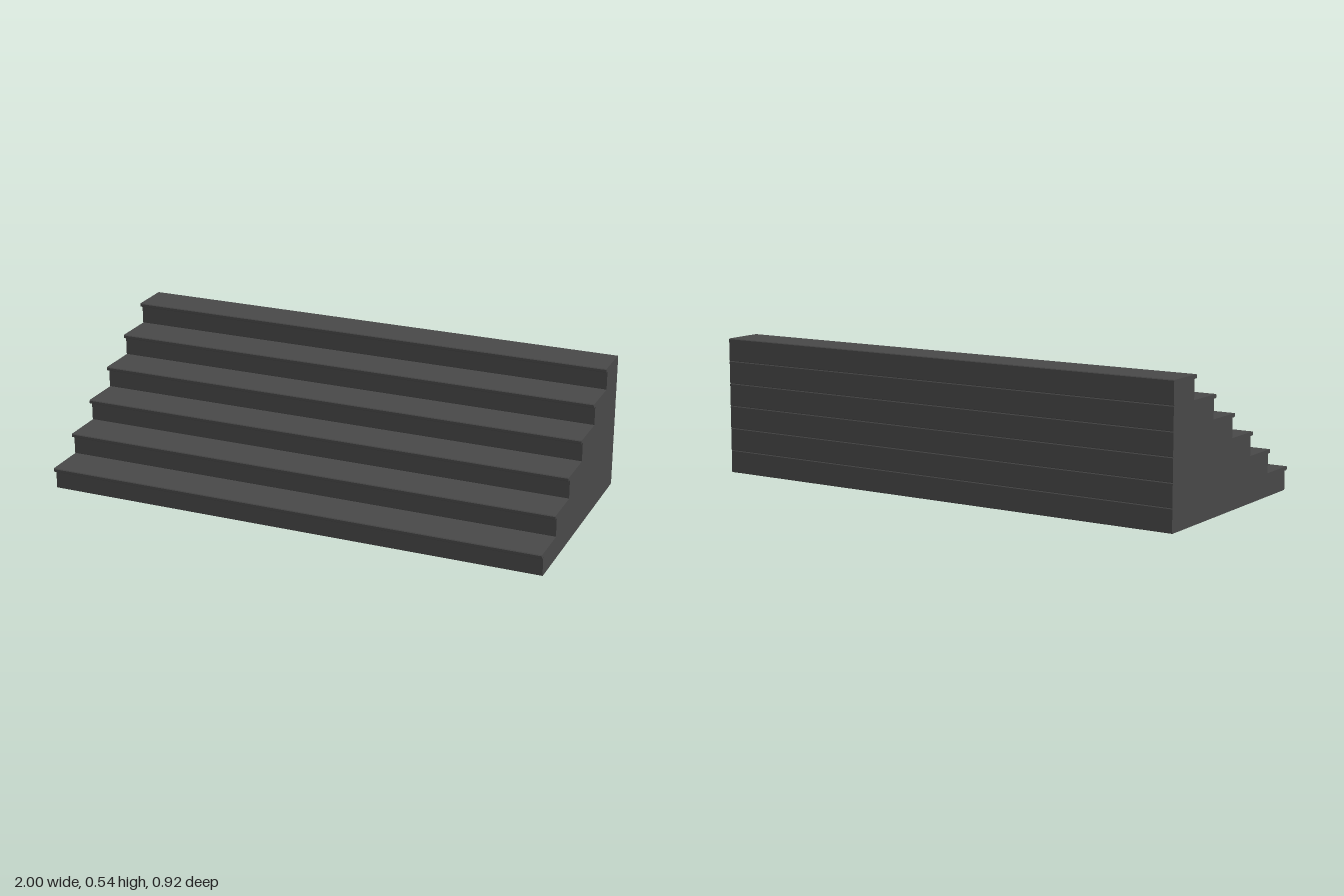
import * as THREE from 'three';

const WIDTH = 2, RISE = 0.09, RUN = 0.15, COUNT = 6;
const BACK = -0.458, FRONT = 0.458, OVERHANG = 0.018, NOSING = 0.015;
const EDGE = 0.003; // tiny chamfer that leaves a seam between the stacked steps

// Side profile of one step (z, y): a block with a nosing lip along its top front
function stepProfile(front) {
  const riser = front - OVERHANG, lip = RISE - NOSING;
  return new THREE.Shape([
    [BACK + EDGE, 0], [riser - EDGE, 0], [riser, EDGE],
    [riser, lip], [front - EDGE, lip], [front, lip + EDGE],
    [front, RISE - EDGE], [front - EDGE, RISE],
    [BACK + EDGE, RISE], [BACK, RISE - EDGE], [BACK, EDGE],
  ].map(([z, y]) => new THREE.Vector2(z, y)));
}

export function createModel() {
  const group = new THREE.Group();
  group.name = 'staircase';
  const stone = new THREE.MeshStandardMaterial({ color: 0x484848 });
  stone.name = 'dark grey';

  // Stacked steps, each one shallower than the one below
  for (let i = 0; i < COUNT; i++) {
    const geometry = new THREE.ExtrudeGeometry(stepProfile(FRONT - i * RUN), {
      depth: WIDTH, bevelEnabled: false,
    });
    geometry.rotateY(-Math.PI / 2);
    geometry.translate(WIDTH / 2, i * RISE, 0);
    const step = new THREE.Mesh(geometry, stone);
    step.name = `step${i + 1}`;
    group.add(step);
  }
  return group;
}
